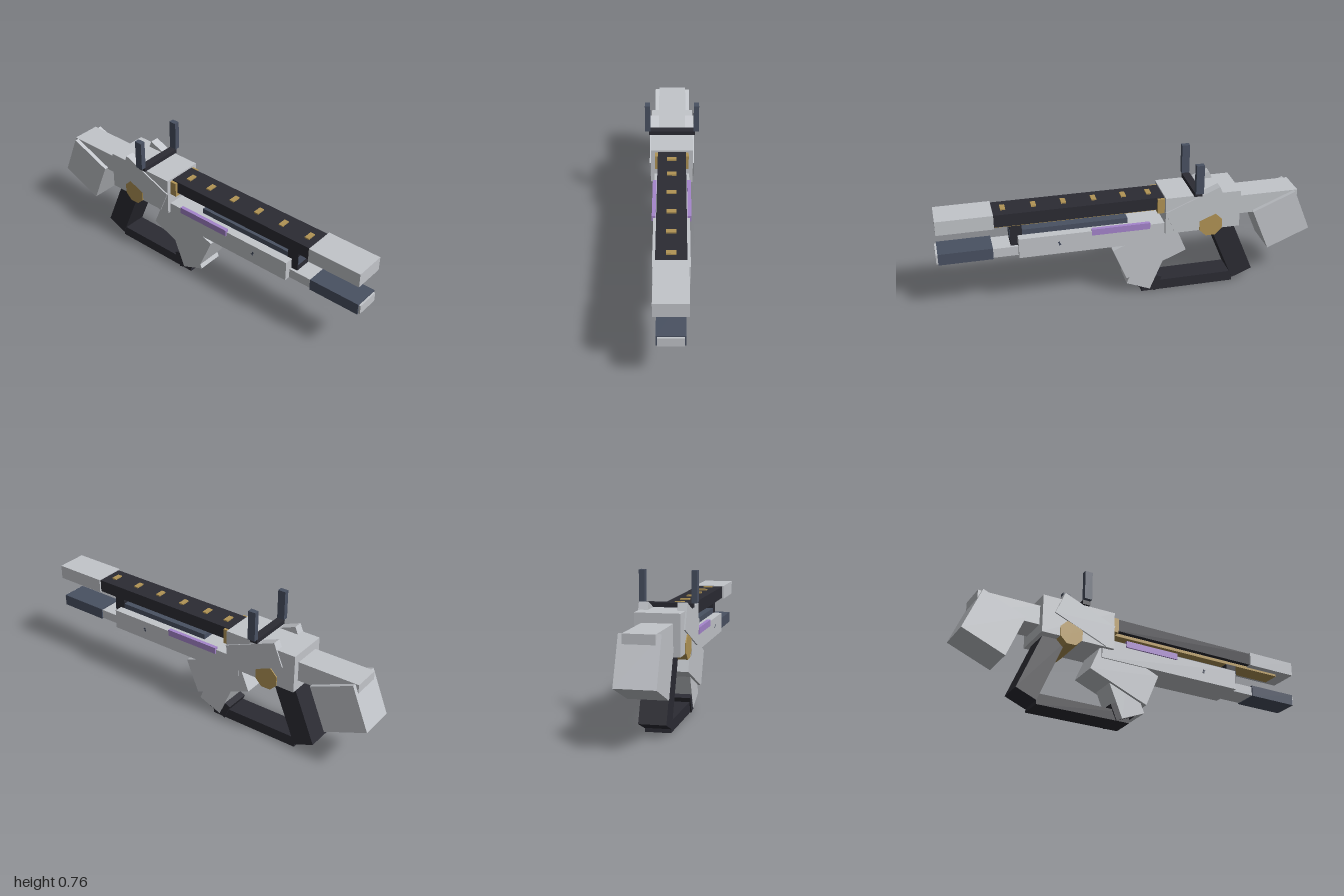
import * as THREE from 'three';

const material = (name, color) => {
  const m = new THREE.MeshStandardMaterial({ color });
  m.name = name;
  return m;
};

export function createModel() {
  const gray = material('light gray', 0xc2c5ca);
  const black = material('black', 0x2b2b33);
  const slate = material('slate', 0x495162);
  const gold = material('gold', 0xb19455);
  const purple = material('purple', 0xa585cc);
  const TILT = Math.PI / 8;
  const group = new THREE.Group();
  group.name = 'blaster';

  const add = (name, geo, mat, x, y, z, tilt = 0) => {
    const mesh = new THREE.Mesh(geo, mat);
    mesh.name = name;
    mesh.position.set(x, y, z);
    mesh.rotation.x = tilt;
    group.add(mesh);
    return mesh;
  };
  // Upright box given by its limits
  const block = (name, mat, [x0, x1], [y0, y1], [z0, z1]) =>
    add(name, new THREE.BoxGeometry(x1 - x0, y1 - y0, z1 - z0), mat,
      (x0 + x1) / 2, (y0 + y1) / 2, (z0 + z1) / 2);
  const centred = (name, mat, half, ys, zs) => block(name, mat, [-half, half], ys, zs);
  // Box tilted about x, given by size and centre
  const tilted = (name, mat, [w, h, d], [x, y, z], tilt) =>
    add(name, new THREE.BoxGeometry(w, h, d), mat, x, y, z, tilt);

  // Upper barrel
  centred('upperBarrel', black, 0.075, [0.5, 0.568], [-0.2, 0.7]);
  centred('upperMuzzle', gray, 0.084, [0.495, 0.572], [0.698, 0.99]);
  centred('barrelCollar', gold, 0.09, [0.483, 0.564], [-0.2, -0.153]);
  centred('underRail', gold, 0.048, [0.483, 0.502], [-0.2, 0.9]);
  for (const z of [-0.12, 0.015, 0.172, 0.33, 0.485, 0.643])
    centred('barrelStud', gold, 0.025, [0.56, 0.575], [z - 0.013, z + 0.013]);

  // Lower barrel
  centred('lowerBody', gray, 0.094, [0.317, 0.426], [-0.25, 0.58]);
  centred('innerBarrel', gray, 0.063, [0.319, 0.37], [0.5, 1]);
  centred('lowerMuzzle', slate, 0.07, [0.315, 0.377], [0.71, 0.99]);
  centred('barrelPost', black, 0.048, [0.37, 0.483], [0.555, 0.617]);
  centred('pumpRod', slate, 0.047, [0.405, 0.455], [0, 0.619]);
  for (const a of [0, TILT * 2])
    tilted('sidePin', slate, [0.191, 0.022, 0.006], [0, 0.377, 0.37], a);

  // Receiver and stock
  centred('receiver', gray, 0.113, [0.37, 0.577], [-0.597, -0.19]);
  centred('stockNeck', gray, 0.077, [0.423, 0.529], [-0.93, -0.59]);
  tilted('stockPad', gray, [0.198, 0.25, 0.25], [0, 0.365, -0.843], TILT);
  const dial = add('sideDial', new THREE.CylinderGeometry(0.067, 0.067, 0.236, 8).toNonIndexed(),
    gold, 0, 0.397, -0.437);
  dial.geometry.rotateY(TILT).rotateZ(Math.PI / 2);
  dial.geometry.computeVertexNormals();

  // Mirrored side parts
  for (const s of [-1, 1]) {
    tilted('sidePlate', gray, [0.048, 0.135, 0.313], [s * 0.096, 0.493, -0.36], TILT);
    tilted('sideLight', purple, [0.02, 0.035, 0.31], [s * 0.092, 0.422, 0.045], 0);
    tilted('sightPost', slate, [0.028, 0.16, 0.042], [s * 0.132, 0.68, -0.361], 0);
  }
  centred('sightBase', black, 0.125, [0.576, 0.6], [-0.382, -0.34]);

  // Magazine housing, foregrip and handle
  tilted('magazineHousing', gray, [0.175, 0.193, 0.353], [0, 0.266, -0.113], TILT);
  tilted('foregrip', gray, [0.144, 0.25, 0.14], [0, 0.157, -0.103], -TILT);
  tilted('foregripCap', black, [0.141, 0.09, 0.115], [0, 0.062, -0.115], -TILT);
  centred('guardBar', black, 0.064, [0, 0.058], [-0.59, -0.075]);
  tilted('handle', black, [0.136, 0.38, 0.12], [0, 0.218, -0.573], TILT);

  return group;
}
